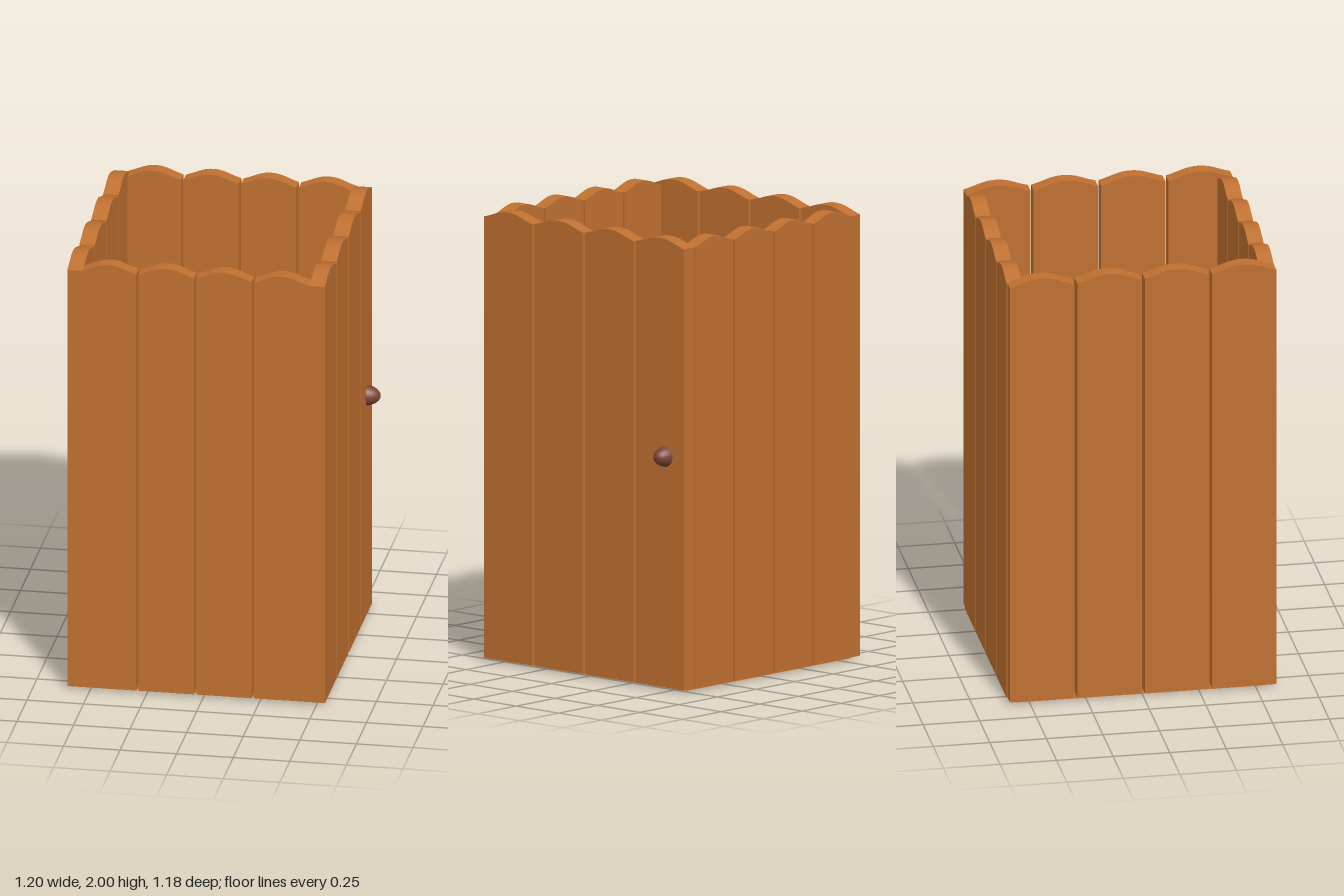
import * as THREE from 'three';
import { toCreasedNormals } from 'three/addons/utils/BufferGeometryUtils.js';

const BOTTOM = 0.013, SHOULDER = 1.965, PEAK = 2, THICK = 0.068;

// Upright board with a softly waved top, centred on x and z
function plankGeometry(width) {
  const w = width, rise = PEAK - SHOULDER;
  const shape = new THREE.Shape();
  shape.moveTo(-w / 2, BOTTOM);
  shape.lineTo(w / 2, BOTTOM);
  shape.lineTo(w / 2, SHOULDER);
  shape.bezierCurveTo(w * 0.3, SHOULDER + rise * 0.4, w * 0.2, PEAK, 0, PEAK);
  shape.bezierCurveTo(-w * 0.2, PEAK, -w * 0.3, SHOULDER + rise * 0.4, -w / 2, SHOULDER);
  const geometry = new THREE.ExtrudeGeometry(shape, { depth: THICK, bevelEnabled: false, curveSegments: 10 });
  geometry.translate(0, 0, -THICK / 2);
  return toCreasedNormals(geometry, 0.5);
}

export function createModel() {
  const model = new THREE.Group();
  const wood = new THREE.MeshStandardMaterial({ color: 0xbf7030 });
  const floorWood = new THREE.MeshStandardMaterial({ color: 0xbf7030, side: THREE.DoubleSide });
  const darkWood = new THREE.MeshStandardMaterial({ color: 0x7a4535 });

  const add = (name, geometry, material, x, y, z) => {
    const mesh = new THREE.Mesh(geometry, material);
    mesh.name = name;
    mesh.position.set(x, y, z);
    model.add(mesh);
    return mesh;
  };

  // Four walls of four planks each
  const narrow = plankGeometry(0.244);
  const wide = plankGeometry(0.284);
  for (let i = 0; i < 4; i++) {
    const x = -0.418 + i * 0.255;
    add('frontPlank', narrow, wood, x, 0, 0.555);
    add('backPlank', narrow, wood, x, 0, -0.56);

    const z = -0.447 + i * 0.298;
    add('leftPlank', wide, wood, 0.504, 0, z).rotation.y = Math.PI / 2;
    add('rightPlank', wide, wood, -0.566, 0, z).rotation.y = Math.PI / 2;
  }

  // Thin floor sheet
  add('floor', new THREE.PlaneGeometry(1.055, 1.09), floorWood, -0.047, 0, -0.01).rotation.x = -Math.PI / 2;

  // Oval knob passing through the door-side plank
  add('knob', new THREE.SphereGeometry(1, 32, 20), darkWood, 0.513, 1.035, -0.475).scale.set(0.083, 0.048, 0.048);

  return model;
}
